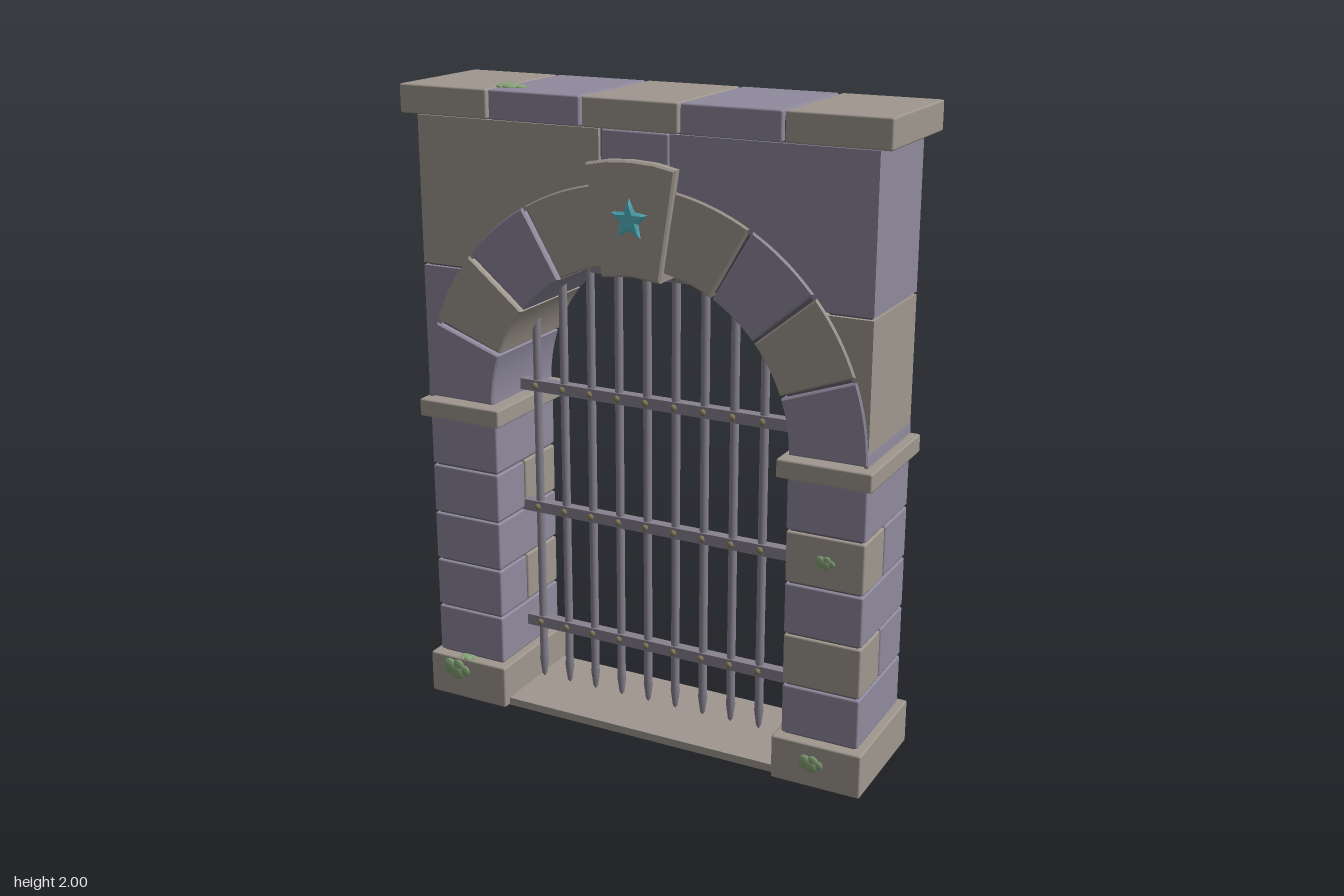
import * as THREE from 'three';
import { toCreasedNormals } from 'three/addons/utils/BufferGeometryUtils.js';
import { RoundedBoxGeometry } from 'three/addons/geometries/RoundedBoxGeometry.js';

const mat = (name, color) => {
  const m = new THREE.MeshStandardMaterial({ color });
  m.name = name;
  return m;
};

export function createModel() {
  const tan = mat('warm stone', 0xa0988f);
  const purple = mat('cool stone', 0x8f8a9e);
  const mortar = mat('mortar', 0x66626a);
  const iron = mat('iron', 0x87828f);
  const brass = mat('rivet brass', 0x857a58);
  const moss = mat('moss', 0x87a377);
  const teal = mat('star teal', 0x55b9c9);

  const model = new THREE.Group();
  model.name = 'archedGate';
  const add = (name, geo, material, parent = model) => {
    const mesh = new THREE.Mesh(geo, material);
    mesh.name = name;
    parent.add(mesh);
    return mesh;
  };
  const group = (name) => {
    const g = new THREE.Group();
    g.name = name;
    model.add(g);
    return g;
  };
  // Box from its limits on each axis, with softened edges where r > 0
  const block = (name, [x0, x1], [y0, y1], [z0, z1], material, parent, r = 0.006) => {
    const size = [Math.abs(x1 - x0), y1 - y0, z1 - z0];
    const geo = r ? new RoundedBoxGeometry(...size, 1, r) : new THREE.BoxGeometry(...size);
    const mesh = add(name, geo, material, parent);
    mesh.position.set((x0 + x1) / 2, (y0 + y1) / 2, (z0 + z1) / 2);
    return mesh;
  };
  // Flat shape extruded symmetrically about z = 0
  const slab = (name, pts, half, material, parent, bevel = 0) => {
    const shape = new THREE.Shape(pts.map(([x, y]) => new THREE.Vector2(x, y)));
    const depth = 2 * (half - bevel);
    const geo = new THREE.ExtrudeGeometry(shape, {
      depth, bevelEnabled: bevel > 0, bevelSize: bevel, bevelThickness: bevel, bevelOffset: -bevel, bevelSegments: 1,
    });
    geo.translate(0, 0, -depth / 2);
    return add(name, toCreasedNormals(geo, 0.4), material, parent);
  };

  const springY = 1.02, inner = 0.495, outer = 0.733;
  const arc = (r, a0, a1, n = 8) => Array.from({ length: n + 1 }, (_, i) => {
    const a = a0 + (a1 - a0) * i / n;
    return [r * Math.cos(a), springY + r * Math.sin(a)];
  });
  const rad = THREE.MathUtils.degToRad;

  // Threshold and piers
  block('sill', [-0.5, 0.5], [0, 0.025], [-0.175, 0.17], tan, model, 0);
  for (const s of [-1, 1]) {
    const pier = group(s > 0 ? 'leftPier' : 'rightPier');
    block('plinth', [s * 0.47, s * 0.755], [0, 0.14], [-0.203, 0.197], tan, pier);
    block('pierMortar', [s * 0.5, s * 0.72], [0.1, 1], [-0.163, 0.16], mortar, pier, 0);
    for (let i = 0; i < 5; i++) {
      const y = 0.145 + i * 0.163, rows = [y, y + 0.157], x = [s * 0.49, s * 0.733];
      if (i % 2) {
        block('pierBlock', x, rows, [0.012, 0.17], s > 0 ? tan : purple, pier);
        block('pierBlock', x, rows, [-0.175, 0.006], s > 0 ? purple : tan, pier);
      } else block('pierBlock', x, rows, [-0.175, 0.17], purple, pier);
    }
    block('impost', [s * 0.465, s * 0.755], [0.958, 1.015], [-0.203, 0.197], tan, pier);
  }

  // Wall above the arch: mortar core with large facing blocks
  const wall = group('upperWall');
  slab('wallMortar', [[-0.722, springY], [-0.722, 1.92], [0.722, 1.92], [0.722, springY],
    ...arc(0.51, 0, Math.PI, 32)], 0.158, mortar, wall);
  const R = 0.72;
  const lower = [[0.732, springY], [0.732, 1.442], ...arc(R, Math.asin(0.422 / R), 0, 10)];
  const upper = [[0.732, 1.45], [0.732, 1.9], [0.113, 1.9], ...arc(R, Math.acos(0.113 / R), Math.asin(0.43 / R), 12)];
  for (const s of [-1, 1]) {
    const flip = (pts) => pts.map(([x, y]) => [x * s, y]);
    slab('lowerSpandrel', flip(lower), 0.171, s > 0 ? tan : purple, wall);
    slab('upperSpandrel', flip(upper), 0.171, s > 0 ? purple : tan, wall);
  }
  block('middleBlock', [-0.107, 0.108], [1.7, 1.9], [-0.168, 0.168], purple, wall);

  // Arch stones, with the keystone in the middle
  const arch = group('arch');
  for (let i = 0; i < 9; i++) {
    if (i === 4) continue;
    const a0 = rad(i * 20 + 0.5), a1 = rad(i * 20 + 19.5);
    const k = Math.min(i, 8 - i);
    slab('archStone', [...arc(inner, a0, a1), ...arc(outer, a1, a0)], 0.178, k % 2 ? tan : purple, arch, 0.005);
  }
  slab('keystone', [[-0.095, 1.478], [0, 1.488], [0.095, 1.478], [0.145, 1.805],
    [0.075, 1.818], [0, 1.822], [-0.075, 1.818], [-0.145, 1.805]], 0.198, tan, arch, 0.006);

  // Raised faceted star on both faces of the keystone
  const starPoints = Array.from({ length: 10 }, (_, i) => {
    const a = Math.PI / 2 + i * Math.PI / 5, r = i % 2 ? 0.03 : 0.062;
    return new THREE.Vector2(r * Math.cos(a), r * Math.sin(a));
  });
  for (const s of [-1, 1]) {
    const geo = new THREE.ExtrudeGeometry(new THREE.Shape(starPoints), {
      depth: 0.004, bevelSize: 0.01, bevelOffset: -0.01, bevelThickness: 0.005, bevelSegments: 1,
    });
    const star = add('star', geo, teal, arch);
    star.position.set(0, 1.653, s * 0.196);
    if (s < 0) star.rotation.y = Math.PI;
  }

  // Coping stones along the top
  const coping = group('coping');
  block('copingMortar', [-0.76, 0.76], [1.908, 1.975], [-0.185, 0.18], mortar, coping, 0);
  for (let i = 0; i < 5; i++) {
    const x = (i - 2) * 0.3115;
    block('copingStone', [x - 0.152, x + 0.152], [1.905, 1.992], [-0.205, 0.198], i % 2 ? purple : tan, coping);
  }

  // Portcullis: pointed bars, cross rails and rivets
  const gate = group('portcullis');
  const rails = [0.24, 0.645, 1.052, 1.457];
  rails.forEach((y, i) => {
    const w = i === 3 ? 0.235 : 0.5;
    block('rail', [-w, w], [y - 0.018, y + 0.018], [-0.017, 0.017], iron, gate, 0);
  });
  for (let i = 0; i < 10; i++) {
    const x = (i - 4.5) * 0.0977;
    const top = springY + Math.sqrt(0.52 ** 2 - x * x);
    const profile = [[0, 0.036], [0.008, 0.047], [0.015, 0.1], [0.0135, 0.115], [0.0135, top]];
    add('bar', new THREE.LatheGeometry(profile.map(([r, y]) => new THREE.Vector2(r, y)), 10), iron, gate).position.x = x;
    for (const y of rails) {
      if (y > top - 0.05) continue;
      for (const s of [-1, 1]) {
        const rivet = add('rivet', new THREE.SphereGeometry(0.011, 8, 6), brass, gate);
        rivet.position.set(x, y, s * 0.018);
        rivet.scale.z = 0.7;
      }
    }
  }

  // Moss clumps: overlapping flattened lumps lying on a face
  const lumps = [[-0.026, 0.008, 0.026], [0.002, -0.008, 0.027], [0.006, 0.014, 0.022], [0.03, 0, 0.019], [-0.03, -0.008, 0.018]];
  const mossClump = (x, y, z, size, onTop = false) => {
    const clump = group('moss');
    for (const [u, v, r] of lumps) {
      const lump = add('mossLump', new THREE.SphereGeometry(r, 10, 8), moss, clump);
      lump.position.set(u, v, 0);
      lump.scale.z = 0.35;
    }
    clump.position.set(x, y, z);
    clump.scale.setScalar(size);
    if (onTop) clump.rotation.x = -Math.PI / 2;
  };
  mossClump(-0.655, 0.098, 0.197, 1);
  mossClump(0.6, 0.077, 0.197, 0.78);
  mossClump(0.615, 0.714, 0.17, 0.6);
  mossClump(0.67, 0.09, -0.203, 0.8);
  mossClump(-0.62, 0.14, 0.175, 0.6, true);
  mossClump(-0.435, 1.992, 0.11, 1, true);

  return model;
}
